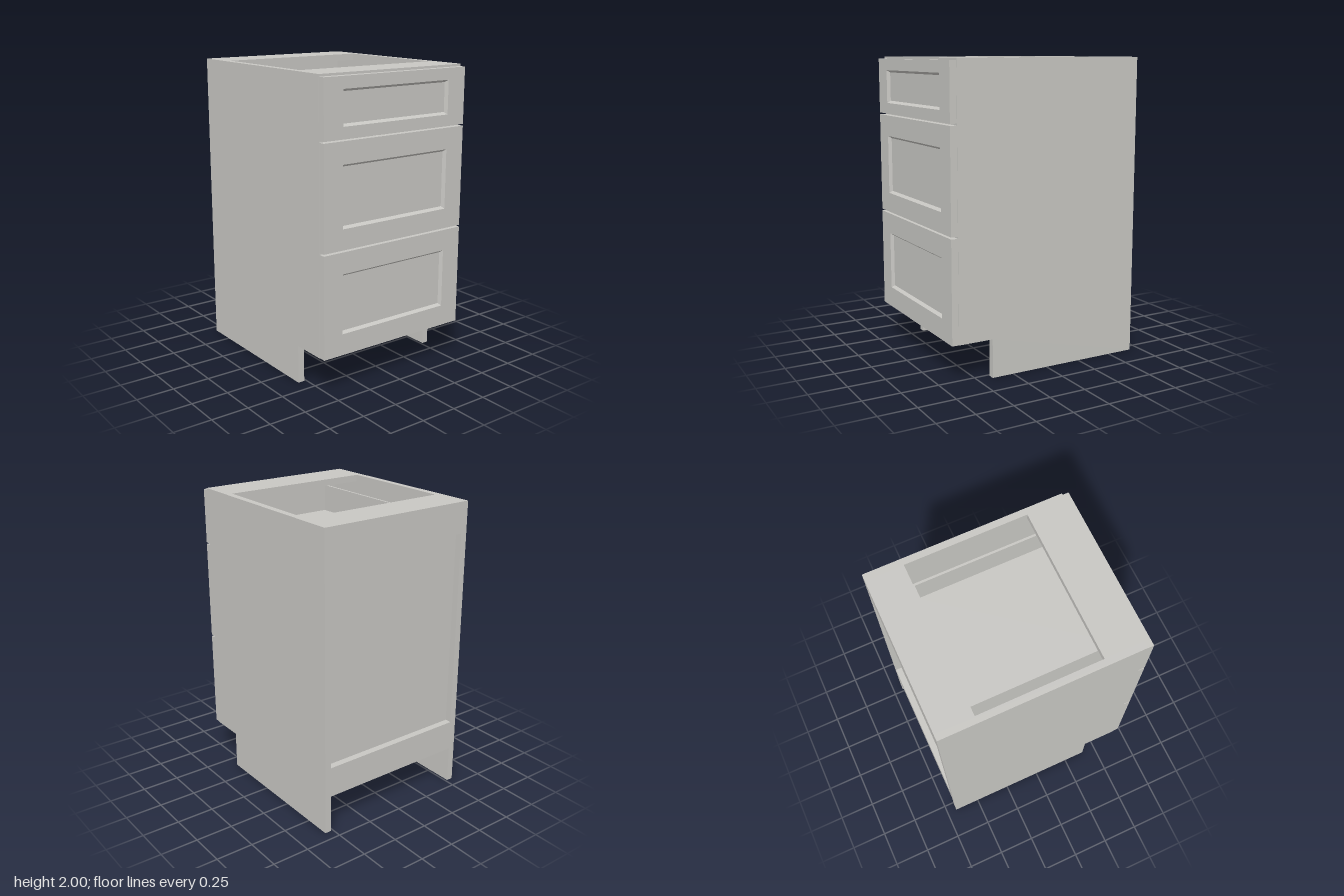
import * as THREE from 'three';

const W = 0.56, T = 0.045, BACK = -0.68, CASE_FRONT = 0.635, FRONT = 0.68;
const INNER = W - T;

export function createModel() {
  const cabinet = new THREE.Group();
  cabinet.name = 'drawerBaseCabinet';
  const paint = new THREE.MeshStandardMaterial({ color: 0xc8c7c3 });
  paint.name = 'warm grey paint';

  const add = (name, geometry, parent = cabinet) => {
    const mesh = new THREE.Mesh(geometry, paint);
    mesh.name = name;
    parent.add(mesh);
    return mesh;
  };
  // Box given by its limits on each axis
  const box = (name, x0, x1, y0, y1, z0, z1, parent) => {
    const g = new THREE.BoxGeometry(x1 - x0, y1 - y0, z1 - z0);
    g.translate((x0 + x1) / 2, (y0 + y1) / 2, (z0 + z1) / 2);
    return add(name, g, parent);
  };
  const rect = (x0, x1, y0, y1) =>
    [[x0, y0], [x1, y0], [x1, y1], [x0, y1]].map(p => new THREE.Vector2(...p));

  // Side panels with toe-kick notch
  const profile = new THREE.Shape([
    [BACK, 0], [0.4, 0], [0.4, 0.255], [CASE_FRONT, 0.255], [CASE_FRONT, 2], [BACK, 2],
  ].map(p => new THREE.Vector2(...p)));
  for (const [name, x] of [['leftSide', W], ['rightSide', -INNER]]) {
    const g = new THREE.ExtrudeGeometry(profile, { depth: T, bevelEnabled: false });
    g.rotateY(-Math.PI / 2);
    g.translate(x, 0, 0);
    add(name, g);
  }

  // Floor, top stretchers, back rails and recessed back panel
  box('floor', -INNER, INNER, 0.255, 0.3, BACK, CASE_FRONT);
  box('frontStretcher', -INNER, INNER, 2 - T, 2, 0.38, CASE_FRONT);
  box('backStretcher', -INNER, INNER, 2 - T, 2, BACK, -0.43);
  box('upperBackRail', -INNER, INNER, 1.795, 2 - T, BACK, BACK + T);
  box('lowerBackRail', -INNER, INNER, 0.3, 0.46, BACK, BACK + T);
  box('backPanel', -INNER, INNER, 0.3, 2 - T, BACK + T, BACK + T + 0.015);

  // Sloped moulding between the frame opening and the sunken panel
  const moulding = (outer, inner, zOuter, zInner) => {
    const pos = [];
    for (let i = 0; i < 4; i++) {
      const j = (i + 1) % 4;
      const a = [outer[i].x, outer[i].y, zOuter], b = [outer[j].x, outer[j].y, zOuter];
      const c = [inner[j].x, inner[j].y, zInner], d = [inner[i].x, inner[i].y, zInner];
      pos.push(...a, ...b, ...c, ...a, ...c, ...d);
    }
    const g = new THREE.BufferGeometry();
    g.setAttribute('position', new THREE.Float32BufferAttribute(pos, 3));
    g.computeVertexNormals();
    return g;
  };

  // Drawers: front limits, recess limits, box limits (all heights)
  const drawers = [
    ['bottomDrawer', 0.255, 0.925, 0.395, 0.785, 0.36, 0.8],
    ['middleDrawer', 0.937, 1.605, 1.07, 1.465, 1.02, 1.46],
    ['topDrawer', 1.617, 1.985, 1.69, 1.91, 1.69, 1.9],
  ];
  const FX = 0.557, RX = 0.417, SLOPE = 0.015, PANEL = 0.66;
  for (const [name, y0, y1, r0, r1, b0, b1] of drawers) {
    const drawer = new THREE.Group();
    drawer.name = name;
    cabinet.add(drawer);

    // Framed front
    const frame = new THREE.Shape(rect(-FX, FX, y0, y1));
    const outer = rect(-RX, RX, r0, r1);
    frame.holes.push(new THREE.Path(outer));
    const g = new THREE.ExtrudeGeometry(frame, { depth: FRONT - PANEL, bevelEnabled: false });
    g.translate(0, 0, PANEL);
    add('frontFrame', g, drawer);
    box('frontPanel', -FX, FX, y0, y1, CASE_FRONT, PANEL, drawer);
    const inner = rect(-RX + SLOPE, RX - SLOPE, r0 + SLOPE, r1 - SLOPE);
    add('panelMoulding', moulding(outer, inner, FRONT, PANEL), drawer);

    // Thin-walled drawer box
    const bx = 0.425, t = 0.015, zb = -0.43;
    for (const [side, x] of [['boxLeft', bx - t], ['boxRight', -bx]]) {
      box(side, x, x + t, b0, b1, zb, CASE_FRONT, drawer);
    }
    box('boxBack', -bx + t, bx - t, b0, b1, zb, zb + t, drawer);
    box('boxFront', -bx + t, bx - t, b0, b1, CASE_FRONT - t, CASE_FRONT, drawer);
    box('boxBottom', -bx + t, bx - t, b0 + 0.01, b0 + 0.025, zb + t, CASE_FRONT - t, drawer);
  }
  return cabinet;
}
